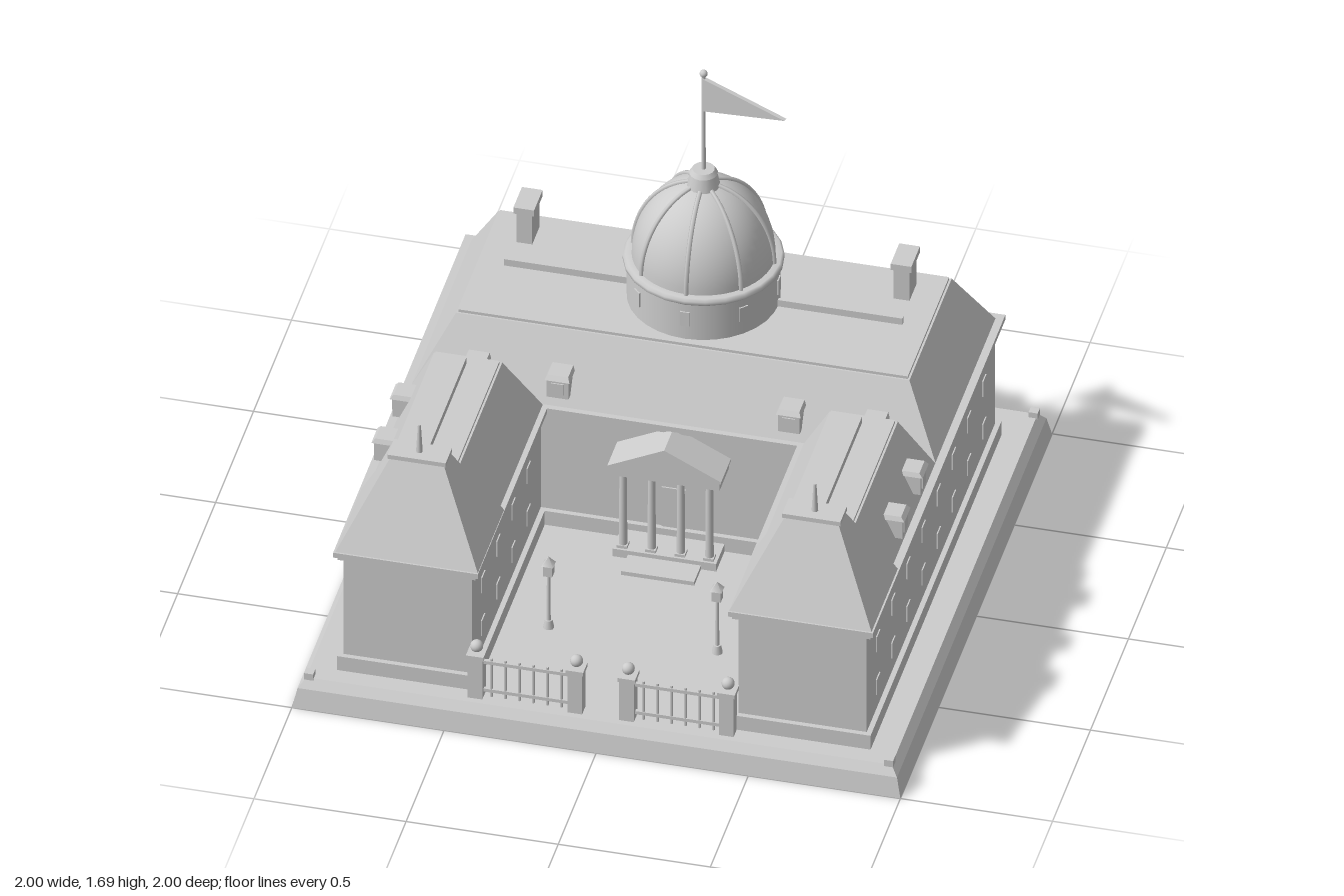
import * as THREE from 'three';

export function createModel() {
  const root = new THREE.Group();
  root.name = 'courtyardMansion';
  const stone = new THREE.MeshStandardMaterial({ color: 0xcccccc });
  stone.name = 'paleStone';
  const flagCloth = new THREE.MeshStandardMaterial({ color: 0xcccccc, side: THREE.DoubleSide });
  flagCloth.name = 'flagCloth';

  const add = (name, geo, x = 0, y = 0, z = 0, parent = root, mat = stone) => {
    const m = new THREE.Mesh(geo, mat);
    m.name = name;
    m.position.set(x, y, z);
    parent.add(m);
    return m;
  };
  // box given by its limits
  const block = (name, x0, x1, y0, y1, z0, z1, parent = root) =>
    add(name, new THREE.BoxGeometry(x1 - x0, y1 - y0, z1 - z0),
      (x0 + x1) / 2, (y0 + y1) / 2, (z0 + z1) / 2, parent);
  // sloped block: [x0, x1, z0, z1] at the bottom and at the top
  const frustum = (name, y0, a, y1, b, parent = root) => {
    const geo = new THREE.BoxGeometry(1, 1, 1).toNonIndexed();
    const p = geo.attributes.position;
    for (let i = 0; i < p.count; i++) {
      const top = p.getY(i) > 0, r = top ? b : a;
      p.setXYZ(i, p.getX(i) < 0 ? r[0] : r[1], top ? y1 : y0, p.getZ(i) < 0 ? r[2] : r[3]);
    }
    geo.computeVertexNormals();
    return add(name, geo, 0, 0, 0, parent);
  };
  const rod = (name, r0, r1, y0, y1, x, z, sides = 12, parent = root) =>
    add(name, new THREE.CylinderGeometry(r1, r0, y1 - y0, sides), x, (y0 + y1) / 2, z, parent);
  const ball = (name, r, x, y, z) => add(name, new THREE.SphereGeometry(r, 16, 12), x, y, z);
  const square = (s) => [-s, s, -s, s];

  // Base slab with bevelled top and corner markers
  frustum('baseSlab', 0, square(1), 0.07, square(0.985));
  frustum('baseBevel', 0.07, square(0.985), 0.1, square(0.962));
  for (const sx of [-1, 1]) for (const sz of [-1, 1])
    block('cornerMarker', sx * 0.953 - 0.015, sx * 0.953 + 0.015, 0.095, 0.12, sz * 0.953 - 0.015, sz * 0.953 + 0.015);

  // Walls, plinth and cornice, for the main block and both wings
  const walls = (name, x0, x1, z0, z1) => {
    const g = new THREE.Group();
    g.name = name;
    root.add(g);
    const layer = (part, o, y0, y1) => block(part, x0 - o, x1 + o, y0, y1, z0 - o, z1 + o, g);
    layer('plinth', 0.017, 0.1, 0.155);
    layer('wall', 0, 0.155, 0.54);
    layer('lowerCornice', 0.016, 0.538, 0.553);
    layer('upperCornice', 0.027, 0.553, 0.572);
  };
  walls('mainBlock', -0.86, 0.86, -0.81, -0.027);
  walls('rightWing', -0.86, -0.438, -0.03, 0.883);
  walls('leftWing', 0.438, 0.86, -0.03, 0.883);

  // Main roof: mansard slopes, flat deck and ridge bar
  frustum('mainRoof', 0.57, [-0.862, 0.862, -0.812, -0.018], 0.79, [-0.745, 0.745, -0.7, -0.142]);
  block('mainDeck', -0.738, 0.738, 0.79, 0.8, -0.693, -0.148);
  block('mainRidge', -0.655, 0.655, 0.8, 0.825, -0.422, -0.41);

  // Dormer facing +z, with frame, pane and sloping roof
  const dormer = (x, y, z, turn) => {
    const g = new THREE.Group();
    g.name = 'dormer';
    g.position.set(x, y, z);
    g.rotation.y = turn;
    root.add(g);
    block('dormerBody', -0.036, 0.036, 0, 0.07, -0.08, 0, g);
    frustum('dormerRoof', 0.07, [-0.041, 0.041, -0.08, 0.008], 0.085, [-0.034, 0.034, -0.08, -0.004], g);
    block('dormerPane', -0.021, 0.021, 0.015, 0.058, 0, 0.004, g);
  };
  for (const x of [-0.655, -0.38, 0.38, 0.655]) {
    dormer(x, 0.608, -0.015, 0);
    dormer(x, 0.608, -0.822, Math.PI);
  }

  for (const s of [-1, 1]) {
    const span = (a, b) => (s > 0 ? [a, b] : [-b, -a]);
    const box = (name, a, b, y0, y1, z0, z1) => block(name, ...span(a, b), y0, y1, z0, z1);

    // Wing roof
    frustum('wingRoof', 0.57, [...span(0.428, 0.862), -0.018, 0.74], 0.79, [...span(0.538, 0.762), 0.08, 0.69]);
    box('wingDeck', 0.545, 0.755, 0.79, 0.8, 0.087, 0.69);
    box('wingRidge', 0.644, 0.656, 0.8, 0.825, 0.125, 0.69);
    for (const z of [0.17, 0.41]) dormer(s * 0.868, 0.608, z, s * Math.PI / 2);

    // Front pavilion roof with cap and finial
    frustum('pavilionRoof', 0.57, [...span(0.412, 0.882), 0.555, 0.905], 0.868, [...span(0.56, 0.737), 0.685, 0.76]);
    box('pavilionCap', 0.553, 0.744, 0.868, 0.884, 0.679, 0.766);
    rod('finial', 0.011, 0.005, 0.884, 0.99, s * 0.65, 0.723, 8);

    // Chimney
    box('chimney', 0.594, 0.646, 0.795, 0.918, -0.635, -0.54);
    box('chimneyCap', 0.586, 0.654, 0.918, 0.942, -0.645, -0.532);

    // Two rows of windows along the outer and courtyard walls
    for (const y of [0.245, 0.415]) {
      for (let i = 0; i < 8; i++) {
        const z = 0.74 - i * 0.2;
        box('sideWindow', 0.858, 0.864, y - 0.03, y + 0.03, z - 0.022, z + 0.022);
        if (z > 0.05) box('courtWindow', 0.434, 0.44, y - 0.03, y + 0.03, z - 0.022, z + 0.022);
      }
    }

    // Courtyard lamp
    const lx = s * 0.277, lz = 0.515;
    rod('lampFoot', 0.018, 0.012, 0.1, 0.13, lx, lz);
    rod('lampPost', 0.007, 0.006, 0.13, 0.31, lx, lz);
    box('lampLantern', 0.262, 0.292, 0.31, 0.35, lz - 0.015, lz + 0.015);
    add('lampCap', new THREE.ConeGeometry(0.027, 0.03, 4).rotateY(Math.PI / 4), lx, 0.365, lz);

    // Gate piers and fence
    for (const x of [0.085, 0.413]) {
      box('gatePier', x - 0.024, x + 0.024, 0.1, 0.255, 0.893, 0.941);
      box('pierCap', x - 0.029, x + 0.029, 0.255, 0.27, 0.888, 0.946);
      ball('pierBall', 0.021, s * x, 0.293, 0.917);
    }
    for (const y of [0.125, 0.235]) box('fenceRail', 0.105, 0.39, y - 0.006, y + 0.006, 0.911, 0.923);
    for (let i = 0; i < 6; i++) rod('fenceBar', 0.005, 0.005, 0.1, 0.25, s * (0.135 + i * 0.046), 0.917, 6);
  }

  // Portico: floor, steps, columns, entablature, pediment and door
  block('porticoFloor', -0.17, 0.17, 0.1, 0.13, -0.03, 0.1);
  block('porticoStep', -0.12, 0.12, 0.1, 0.115, 0.1, 0.19);
  for (const x of [-0.142, -0.048, 0.048, 0.142]) {
    rod('porticoColumn', 0.014, 0.012, 0.13, 0.42, x, 0.075, 16);
    block('columnBase', x - 0.017, x + 0.017, 0.13, 0.14, 0.058, 0.092);
  }
  block('entablature', -0.18, 0.18, 0.42, 0.452, -0.03, 0.097);
  const gable = new THREE.Shape([[-0.187, 0.452], [0.187, 0.452], [0.187, 0.46], [0, 0.553], [-0.187, 0.46]]
    .map(([x, y]) => new THREE.Vector2(x, y)));
  add('pediment', new THREE.ExtrudeGeometry(gable, { depth: 0.133, bevelEnabled: false }), 0, 0, -0.03);
  block('door', -0.04, 0.04, 0.13, 0.31, -0.028, -0.022);

  // Domed tower
  const tower = new THREE.Group();
  tower.name = 'domeTower';
  tower.position.z = -0.417;
  root.add(tower);
  rod('drum', 0.246, 0.246, 0.795, 0.95, 0, 0, 32, tower);
  const ring = [[0.235, 0.938], [0.25, 0.938], [0.258, 0.945], [0.258, 0.957], [0.25, 0.965], [0.225, 0.965]];
  add('drumRing', new THREE.LatheGeometry(ring.map(([r, y]) => new THREE.Vector2(r, y)), 24), 0, 0, 0, tower);
  const domePoint = (t, o = 0) => new THREE.Vector2((0.23 + o) * Math.cos(t), 0.96 + (0.285 + o) * Math.sin(t));
  const domeProfile = Array.from({ length: 17 }, (_, i) => domePoint(i / 16 * Math.PI / 2));
  add('dome', new THREE.LatheGeometry(domeProfile, 48), 0, 0, 0, tower);
  const ribPath = new THREE.CatmullRomCurve3(Array.from({ length: 9 }, (_, i) => {
    const p = domePoint(i / 8 * 1.36, 0.002);
    return new THREE.Vector3(0, p.y, p.x);
  }));
  const ribGeo = new THREE.TubeGeometry(ribPath, 20, 0.008, 6);
  const paneGeo = new THREE.BoxGeometry(0.032, 0.055, 0.01);
  for (let k = 0; k < 8; k++) {
    const a = k * Math.PI / 4;
    add('domeRib', ribGeo, 0, 0, 0, tower).rotation.y = a;
    add('drumWindow', paneGeo, 0.245 * Math.sin(a), 0.88, 0.245 * Math.cos(a), tower).rotation.y = a;
  }
  rod('lantern', 0.058, 0.043, 1.215, 1.285, 0, 0, 16, tower);
  rod('lanternCap', 0.046, 0.036, 1.285, 1.3, 0, 0, 16, tower);
  rod('flagPole', 0.007, 0.006, 1.3, 1.67, 0, 0, 10, tower);
  ball('poleBall', 0.013, 0, 1.678, -0.417);

  // Pennant
  const pennant = new THREE.Shape([[0, 1.66], [0, 1.532], [0.295, 1.596]].map(([x, y]) => new THREE.Vector2(x, y)));
  const flagGeo = new THREE.ExtrudeGeometry(pennant, { depth: 0.014, bevelEnabled: false }).translate(0, 0, -0.007);
  add('pennant', flagGeo, 0, 0, 0, tower, flagCloth).rotation.y = -0.24;

  return root;
}
